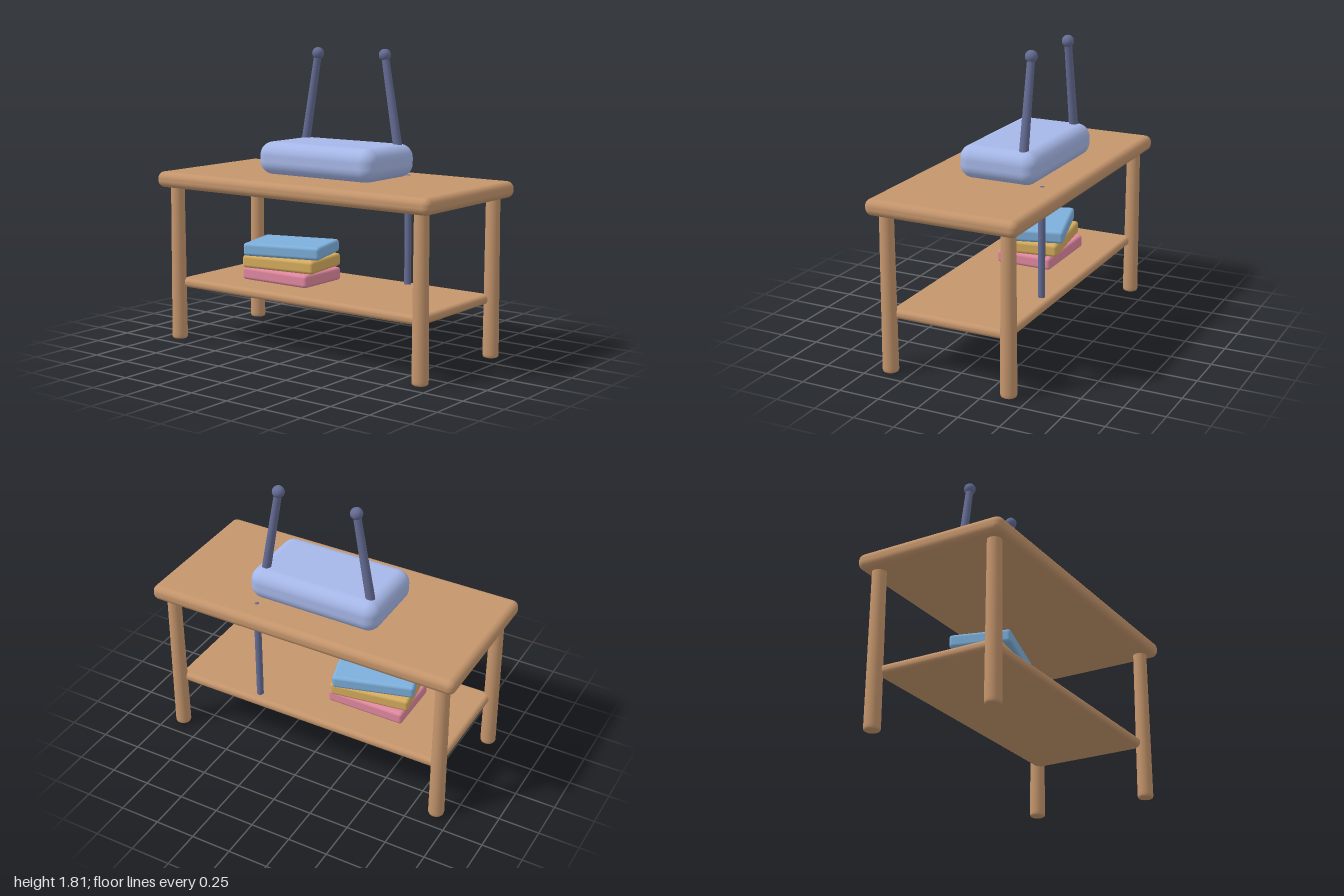
import * as THREE from 'three';
import { RoundedBoxGeometry } from 'three/addons/geometries/RoundedBoxGeometry.js';

const material = (color) => new THREE.MeshStandardMaterial({ color });
const wood = material(0xc4956c);
const dark = material(0x656c94);

function add(parent, name, geometry, mat, x = 0, y = 0, z = 0) {
  const mesh = new THREE.Mesh(geometry, mat);
  mesh.name = name;
  mesh.position.set(x, y, z);
  parent.add(mesh);
  return mesh;
}

// Rounded slab given by its bottom and top heights
function slab(parent, name, mat, w, d, y0, y1, radius, x = 0, z = 0) {
  return add(parent, name, new RoundedBoxGeometry(w, y1 - y0, d, 5, radius), mat, x, (y0 + y1) / 2, z);
}

// Rod between two points, r0 at the start and r1 at the end
function rod(parent, name, from, to, r0, r1) {
  const dir = to.clone().sub(from);
  const mesh = add(parent, name, new THREE.CylinderGeometry(r1, r0, dir.length(), 24), dark);
  mesh.position.copy(from).add(to).multiplyScalar(0.5);
  mesh.quaternion.setFromUnitVectors(new THREE.Vector3(0, 1, 0), dir.normalize());
  return mesh;
}

export function createModel() {
  const model = new THREE.Group();
  model.name = 'routerTable';

  // Table
  const table = new THREE.Group();
  table.name = 'table';
  model.add(table);
  slab(table, 'tableTop', wood, 2, 0.945, 0.955, 1.052, 0.042);
  slab(table, 'shelf', wood, 1.8, 0.76, 0.325, 0.382, 0.026);

  // Slightly tapered legs with softened feet
  const legProfile = [[0, 0], [0.038, 0], [0.045, 0.004], [0.048, 0.014], [0.048, 0.03], [0.042, 0.97], [0, 0.97]]
    .map(([r, y]) => new THREE.Vector2(r, y));
  const legGeometry = new THREE.LatheGeometry(legProfile, 28);
  for (const sx of [-1, 1]) {
    for (const sz of [-1, 1]) {
      add(table, `${sz > 0 ? 'front' : 'back'}${sx > 0 ? 'Left' : 'Right'}Leg`, legGeometry, wood, sx * 0.9, 0, sz * 0.38);
    }
  }

  // Router with two antennas leaning inwards
  const router = new THREE.Group();
  router.name = 'router';
  model.add(router);
  slab(router, 'routerBody', material(0xa6b7e8), 0.85, 0.5, 1.052, 1.25, 0.08, 0, -0.05);
  for (const sx of [-1, 1]) {
    const side = sx > 0 ? 'left' : 'right';
    const base = new THREE.Vector3(sx * 0.352, 1.2, -0.2);
    const tip = new THREE.Vector3(sx * 0.25, 1.775, -0.2);
    rod(router, `${side}Antenna`, base, tip, 0.028, 0.023);
    add(router, `${side}AntennaBall`, new THREE.SphereGeometry(0.037, 24, 16), dark, tip.x, tip.y, tip.z);
  }

  // Cable dropping through the table top to the shelf
  add(model, 'cable', new THREE.CapsuleGeometry(0.021, 0.66, 6, 20), dark, 0.347, 0.706, -0.316);

  // Stack of books, each turned a little further
  const books = new THREE.Group();
  books.name = 'books';
  model.add(books);
  [0xe0879f, 0xd6ac5e, 0x7db0dc].forEach((color, i) => {
    const y = 0.383 + i * 0.081;
    const book = slab(books, `book${i + 1}`, material(color), 0.5, 0.36, y, y + 0.08, 0.02, -0.305, 0);
    book.rotation.y = i * 0.14;
  });

  return model;
}
